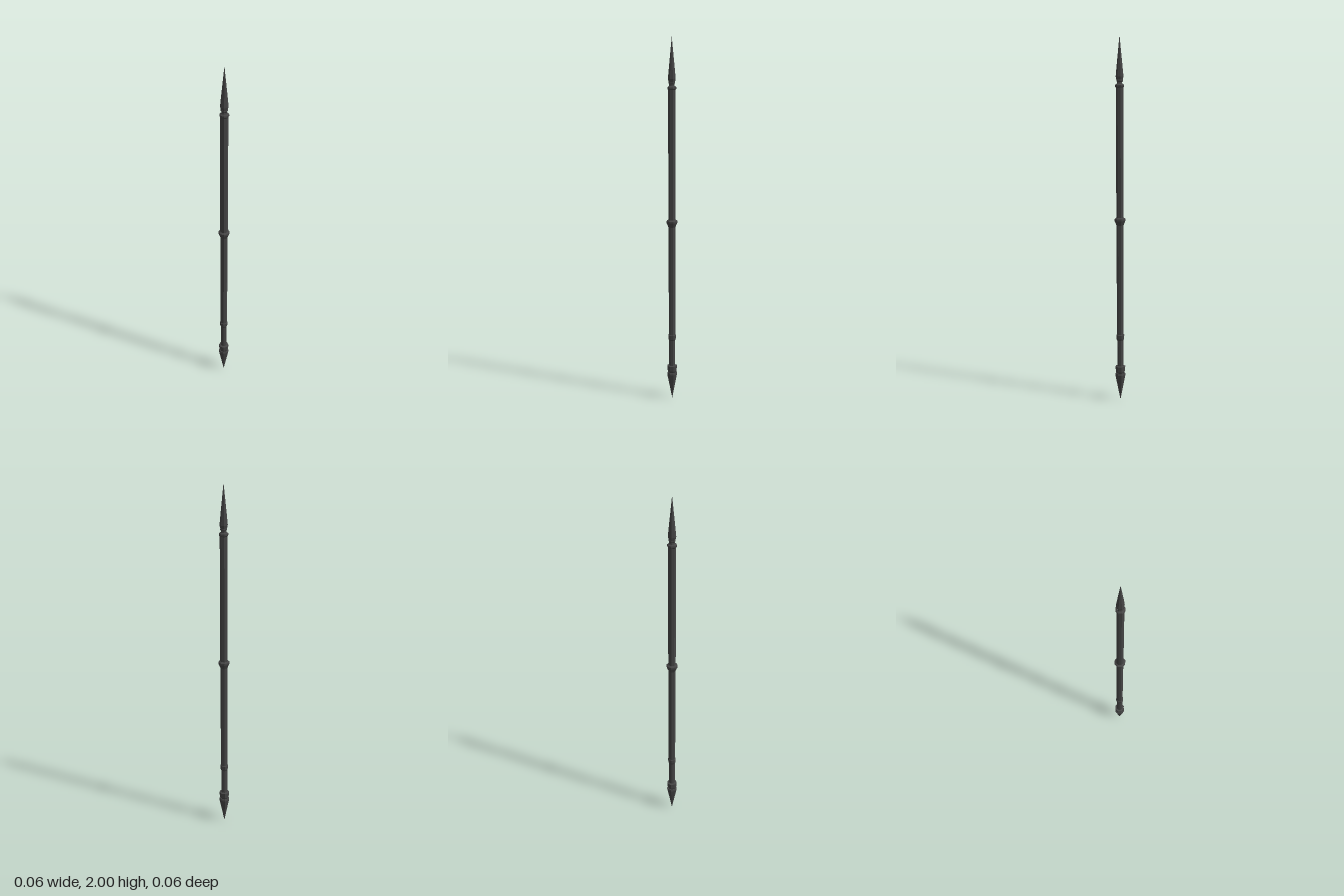
import * as THREE from 'three';

// Eight-sided faceted part turned from [radius, height] points, listed bottom to top
function turned(name, points, material) {
  const profile = points.map(([r, y]) => new THREE.Vector2(r, y));
  const mesh = new THREE.Mesh(new THREE.LatheGeometry(profile, 8), material);
  mesh.name = name;
  return mesh;
}

export function createModel() {
  const metal = new THREE.MeshStandardMaterial({ color: 0x444444, flatShading: true });
  const parts = {
    // Pointed foot and the collar above it
    buttSpike: [[0, 0], [0.029, 0.143], [0.027, 0.153], [0, 0.153]],
    buttCollar: [[0, 0.148], [0.02, 0.15], [0.026, 0.163], [0.028, 0.192], [0.018, 0.195], [0, 0.195]],
    // Shaft sections with their rings
    lowerGrip: [[0.0175, 0.19], [0.0175, 0.345]],
    gripRing: [[0.017, 0.338], [0.0215, 0.348], [0.0225, 0.37], [0.019, 0.374]],
    lowerShaft: [[0.019, 0.365], [0.02, 1.0]],
    middleRing: [[0.02, 0.982], [0.023, 0.99], [0.031, 1.008], [0.031, 1.018], [0.021, 1.024]],
    upperShaft: [[0.0205, 1.015], [0.0205, 1.725]],
    upperRing: [[0.02, 1.722], [0.025, 1.729], [0.025, 1.738], [0.016, 1.744]],
    // Neck and long spear point
    neck: [[0.016, 1.738], [0.014, 1.752], [0.018, 1.758], [0.018, 1.764], [0.014, 1.77]],
    spearPoint: [[0, 1.766], [0.018, 1.766], [0.0215, 1.782], [0.016, 1.84], [0, 2]],
  };

  const model = new THREE.Group();
  model.name = 'spear';
  for (const [name, points] of Object.entries(parts)) model.add(turned(name, points, metal));

  // Barely perceptible lean to the left
  model.rotation.z = -0.003;
  model.position.x = -0.004;
  return model;
}
